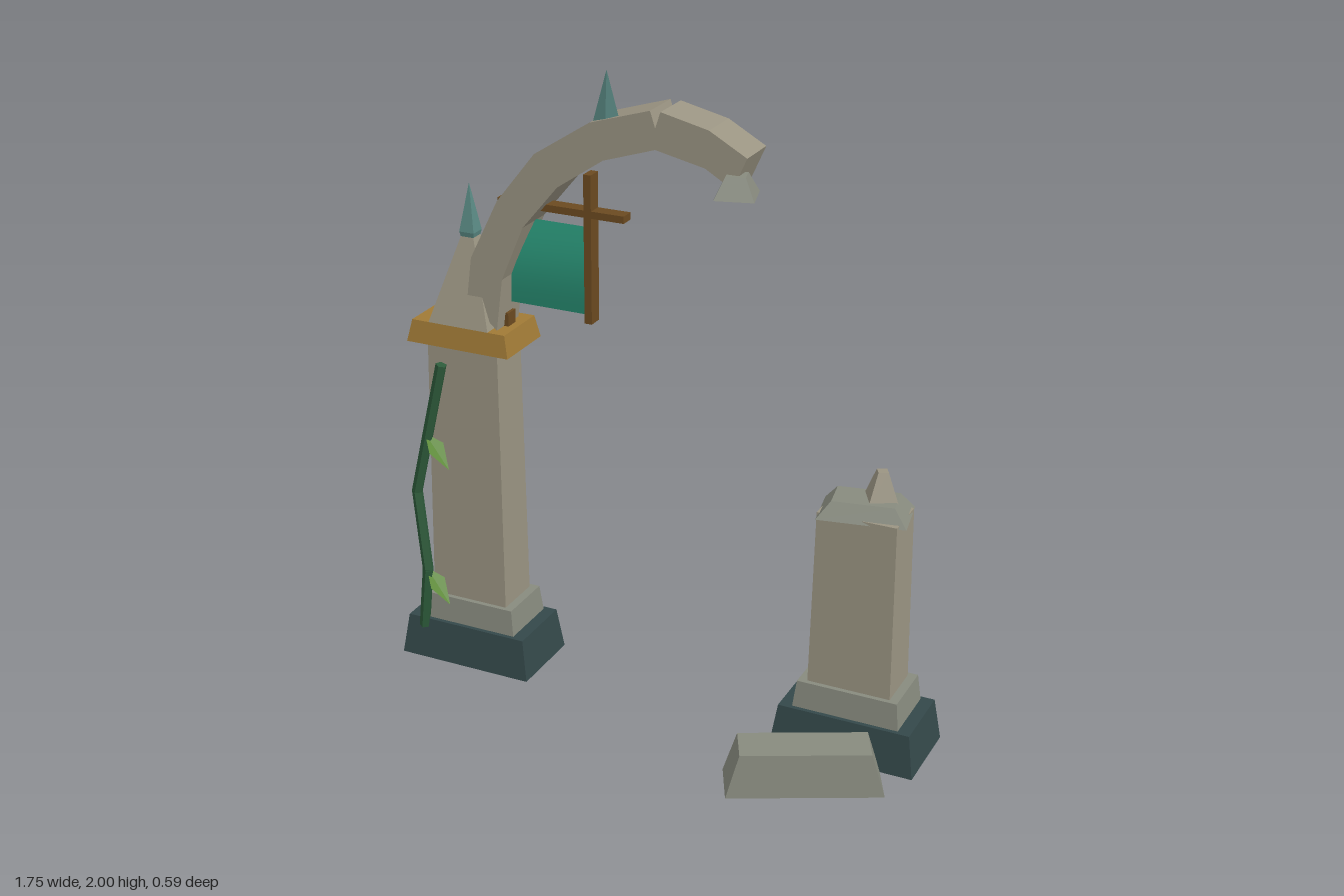
import * as THREE from 'three';

const mat = (color) => new THREE.MeshStandardMaterial({ color, flatShading: true });
const STONE = mat(0x9a9482), PALE = mat(0x878a7e), DARK = mat(0x34484a), GOLD = mat(0xa07a36);
const WOOD = mat(0x6b4a20), VINE = mat(0x2d5a3a), PATINA = mat(0x5a8a84);
const LEAF = new THREE.MeshStandardMaterial({ color: 0x5e8a3a, flatShading: true, side: THREE.DoubleSide });
const CLOTH = new THREE.MeshStandardMaterial({ color: 0x2a9478, side: THREE.DoubleSide });

const Z = -0.165; // depth line of the gateway

function add(parent, name, geometry, material, x = 0, y = 0, z = 0, turn = 0) {
  const mesh = new THREE.Mesh(geometry, material);
  mesh.name = name;
  mesh.position.set(x, y, z);
  mesh.rotation.y = turn;
  parent.add(mesh);
  return mesh;
}

// Box standing on y = 0 whose top is w2 x d2
function taper(w, d, w2, d2, h) {
  const g = new THREE.BoxGeometry(w, h, d).translate(0, h / 2, 0);
  const p = g.attributes.position;
  for (let i = 0; i < p.count; i++) {
    if (p.getY(i) > h / 2) p.setXYZ(i, p.getX(i) * w2 / w, h, p.getZ(i) * d2 / d);
  }
  g.computeVertexNormals();
  return g;
}

// Base, plinth and shaft shared by both pillars
function pillar(name, x, shaftHeight, topWidth) {
  const g = new THREE.Group();
  g.name = name;
  g.position.set(x, 0, Z);
  add(g, 'base', taper(0.455, 0.262, 0.415, 0.232, 0.135), DARK);
  add(g, 'plinth', taper(0.335, 0.205, 0.315, 0.19, 0.085), PALE, 0, 0.135);
  add(g, 'shaft', taper(0.26, 0.16, topWidth, 0.147, shaftHeight), STONE, 0, 0.22);
  return g;
}

// Curved stone slab between an outer and an inner polyline
function archPiece(outer, inner) {
  const pts = [...outer, ...[...inner].reverse()].map(([x, y]) => new THREE.Vector2(x, y));
  return new THREE.ExtrudeGeometry(new THREE.Shape(pts), { depth: 0.135, bevelEnabled: false });
}

export function createModel() {
  const root = new THREE.Group();
  root.name = 'ruinedArch';

  // Whole pillar with gilded cap, spire and finial
  const tall = pillar('tallPillar', -0.645, 0.87, 0.242);
  add(tall, 'cap', taper(0.35, 0.212, 0.32, 0.19, 0.07), GOLD, 0, 1.09);
  add(tall, 'spire', taper(0.205, 0.19, 0.04, 0.04, 0.27), STONE, 0, 1.16);
  const finial = new THREE.LatheGeometry(
    [[0, 1.415], [0.028, 1.417], [0.035, 1.44], [0, 1.59]].map(([r, y]) => new THREE.Vector2(r, y)), 4);
  add(tall, 'finial', finial, PATINA, 0, 0, 0, Math.PI / 4);

  // Broken pillar with shifted cap stones
  const broken = pillar('brokenPillar', 0.645, 0.56, 0.245);
  add(broken, 'capStone', taper(0.265, 0.16, 0.185, 0.105, 0.052), PALE, 0, 0.77, 0, 0.18);
  add(broken, 'topStone', taper(0.085, 0.085, 0.03, 0.03, 0.088), STONE, 0.04, 0.818, -0.02, 0.5);
  root.add(tall, broken);

  // Arch in two pieces meeting at the crown
  add(root, 'archLong', archPiece(
    [[-0.624, 1.25], [-0.607, 1.38], [-0.513, 1.57], [-0.386, 1.73], [-0.206, 1.846], [-0.016, 1.904], [0, 1.855]],
    [[-0.525, 1.16], [-0.503, 1.326], [-0.429, 1.5], [-0.312, 1.64], [-0.164, 1.74], [0, 1.793]],
  ), STONE, 0, 0, Z - 0.0675);
  add(root, 'archShort', archPiece(
    [[0, 1.855], [0.016, 1.904], [0.164, 1.87], [0.28, 1.805]],
    [[0, 1.793], [0.153, 1.76], [0.238, 1.71]],
  ), STONE, 0, 0, Z - 0.0675);
  add(root, 'archTipStone', taper(0.115, 0.115, 0.057, 0.057, 0.062), PALE, 0.245, 1.69, -0.11, 0.27);
  const spike = add(root, 'archSpike', new THREE.ConeGeometry(0.047, 0.165, 4), PATINA, -0.16, 1.9175, -0.117);
  spike.scale.z = 0.25;

  // Fallen block on the ground
  add(root, 'fallenBlock', taper(0.465, 0.155, 0.385, 0.125, 0.135), PALE, 0.59, 0, 0.12, 0.46);

  // Wooden cross holding the banner
  add(root, 'bannerPost', new THREE.BoxGeometry(0.024, 0.46, 0.048), WOOD, -0.238, 1.445, Z);
  add(root, 'bannerBar', new THREE.BoxGeometry(0.415, 0.022, 0.045), WOOD, -0.328, 1.555, Z);
  add(root, 'bannerPeg', new THREE.BoxGeometry(0.024, 0.045, 0.045), WOOD, -0.522, 1.18, Z);

  // Slightly billowing cloth
  const cloth = new THREE.PlaneGeometry(0.26, 0.275, 1, 6);
  const p = cloth.attributes.position;
  for (let i = 0; i < p.count; i++) p.setZ(i, 0.02 * Math.cos(p.getY(i) / 0.1375 * Math.PI / 2));
  cloth.computeVertexNormals();
  add(root, 'banner', cloth, CLOTH, -0.385, 1.3675, Z - 0.01);

  // Climbing vine: straight stems between joints
  const vine = new THREE.Group();
  vine.name = 'vine';
  root.add(vine);
  const joints = [[-0.797, 0.11, -0.052], [-0.772, 0.32, -0.045], [-0.805, 0.585, -0.055], [-0.7, 1.03, -0.055]]
    .map((v) => new THREE.Vector3(...v));
  for (let i = 0; i < 3; i++) {
    const dir = joints[i + 1].clone().sub(joints[i]);
    const mid = joints[i].clone().addScaledVector(dir, 0.5);
    const stem = add(vine, 'stem', new THREE.CylinderGeometry(0.018, 0.018, dir.length() + 0.008, 5), VINE, mid.x, mid.y, mid.z);
    stem.quaternion.setFromUnitVectors(new THREE.Vector3(0, 1, 0), dir.normalize());
  }

  // Flat leaves
  for (const [x, y] of [[-0.77, 0.79], [-0.785, 0.315]]) {
    const leaf = new THREE.BufferGeometry();
    leaf.setAttribute('position', new THREE.Float32BufferAttribute(
      [0, 0, 0, 0.05, -0.035, 0.06, 0.115, -0.08, 0.055, 0.065, -0.02, 0], 3));
    leaf.setIndex([0, 1, 2, 0, 2, 3]);
    leaf.computeVertexNormals();
    add(vine, 'leaf', leaf, LEAF, x, y, -0.058);
  }
  return root;
}
